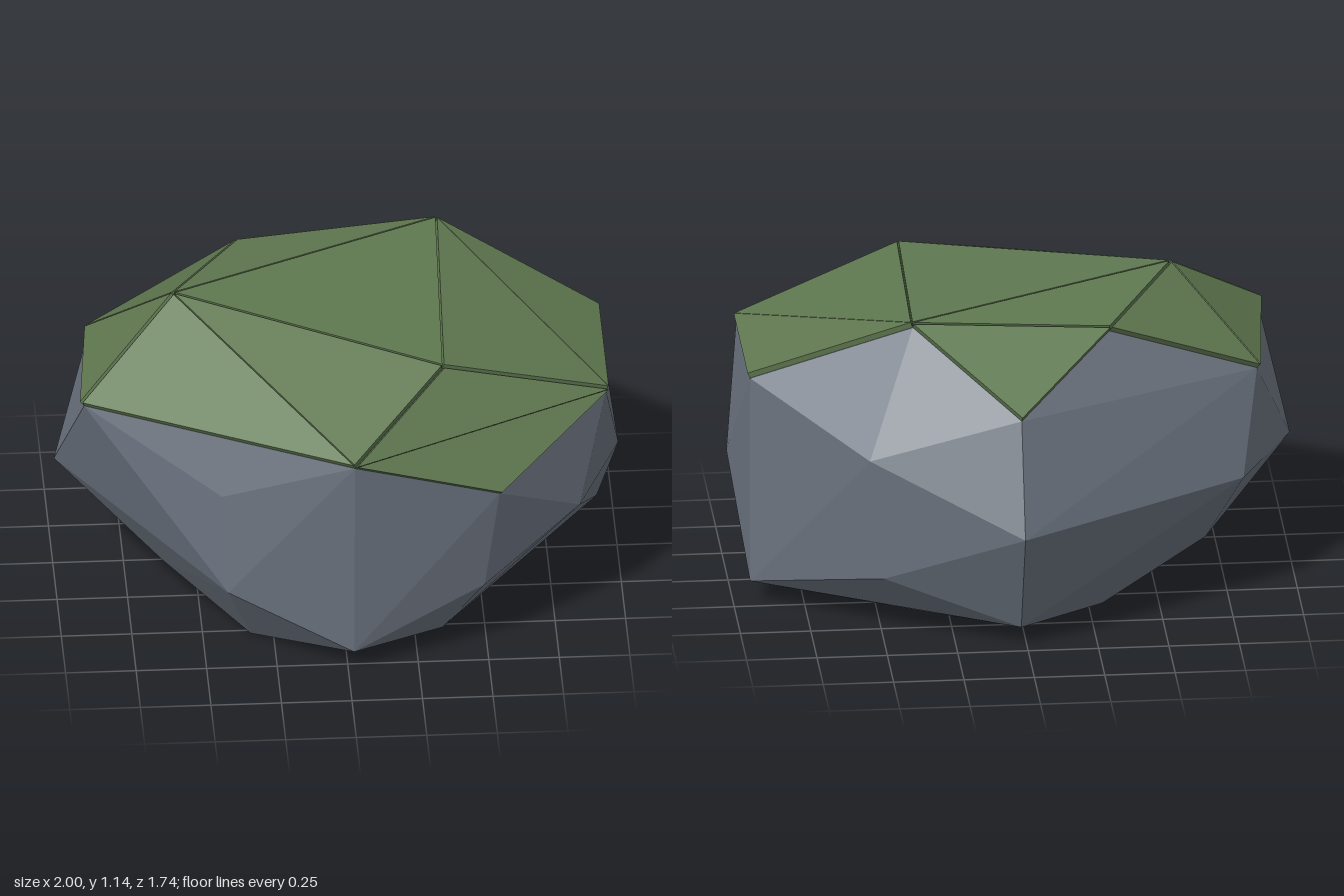
import * as THREE from 'three';
import { ConvexGeometry } from 'three/addons/geometries/ConvexGeometry.js';

// Corners of the boulder, ring by ring
const CROWN = [
  [-0.57, 1.12, 0.06], [0.38, 1.11, -0.41], [0.35, 1.05, 0.49], [-0.32, 1.06, -0.38],
];
const SHOULDER = [
  [0.02, 0.865, -0.72], [0.94, 0.855, -0.21], [0.94, 0.855, 0.35], [0.54, 0.675, 0.73],
  [0.02, 0.87, 0.85], [-0.91, 0.86, 0.35], [-0.86, 0.83, -0.21],
];
const WAIST = [
  [0.02, 0.47, -0.87], [0.55, 0.69, -0.62], [1, 0.47, 0.07], [0.84, 0.46, 0.47],
  [-0.44, 0.66, 0.67], [-1, 0.47, 0.06], [-0.8, 0.47, -0.35],
];
const FOOT = [
  [0.02, 0.07, -0.7], [0.5, 0.24, -0.62], [0.94, 0.08, -0.21], [0.49, 0.27, 0.68],
  [0.02, 0.08, 0.8], [-0.42, 0.28, 0.7], [-0.63, 0.17, 0.28], [-0.68, 0.18, -0.18],
];
const BASE = [
  [0.35, 0, 0.52], [-0.33, 0, 0.52], [-0.51, 0, 0], [-0.3, 0, -0.33], [0.34, 0, -0.35], [0.6, 0, 0],
];

const MOSS_SLOPE = 0.555; // facets facing up more than this carry moss
const MOSS_THICKNESS = 0.022;

// Thin slab standing on one facet, pushed out along its normal
function slabGeometry(corners, normal) {
  const low = corners.map((p) => p.clone().addScaledVector(normal, 0.001));
  const high = corners.map((p) => p.clone().addScaledVector(normal, MOSS_THICKNESS));
  const points = [...high, low[2], low[1], low[0]];
  for (let i = 0; i < 3; i++) {
    const j = (i + 1) % 3;
    points.push(low[i], low[j], high[j], low[i], high[j], high[i]);
  }
  const geometry = new THREE.BufferGeometry().setFromPoints(points);
  geometry.computeVertexNormals();
  return geometry;
}

export function createModel() {
  const model = new THREE.Group();
  model.name = 'mossyBoulder';
  const stone = new THREE.MeshStandardMaterial({ color: 0x6b737f, flatShading: true });
  const moss = new THREE.MeshStandardMaterial({ color: 0x5f7850, flatShading: true });

  // Faceted stone
  const points = [CROWN, SHOULDER, WAIST, FOOT, BASE].flat().map((p) => new THREE.Vector3(...p));
  const rock = new THREE.Mesh(new ConvexGeometry(points), stone);
  rock.name = 'rock';
  model.add(rock);

  // Moss slabs on the upward facets
  const mossCover = new THREE.Group();
  mossCover.name = 'mossCover';
  const position = rock.geometry.getAttribute('position');
  for (let i = 0; i < position.count; i += 3) {
    const corners = [0, 1, 2].map((k) => new THREE.Vector3().fromBufferAttribute(position, i + k));
    const normal = new THREE.Triangle(...corners).getNormal(new THREE.Vector3());
    if (normal.y < MOSS_SLOPE) continue;
    const slab = new THREE.Mesh(slabGeometry(corners, normal), moss);
    slab.name = 'mossSlab';
    mossCover.add(slab);
  }
  model.add(mossCover);
  return model;
}
